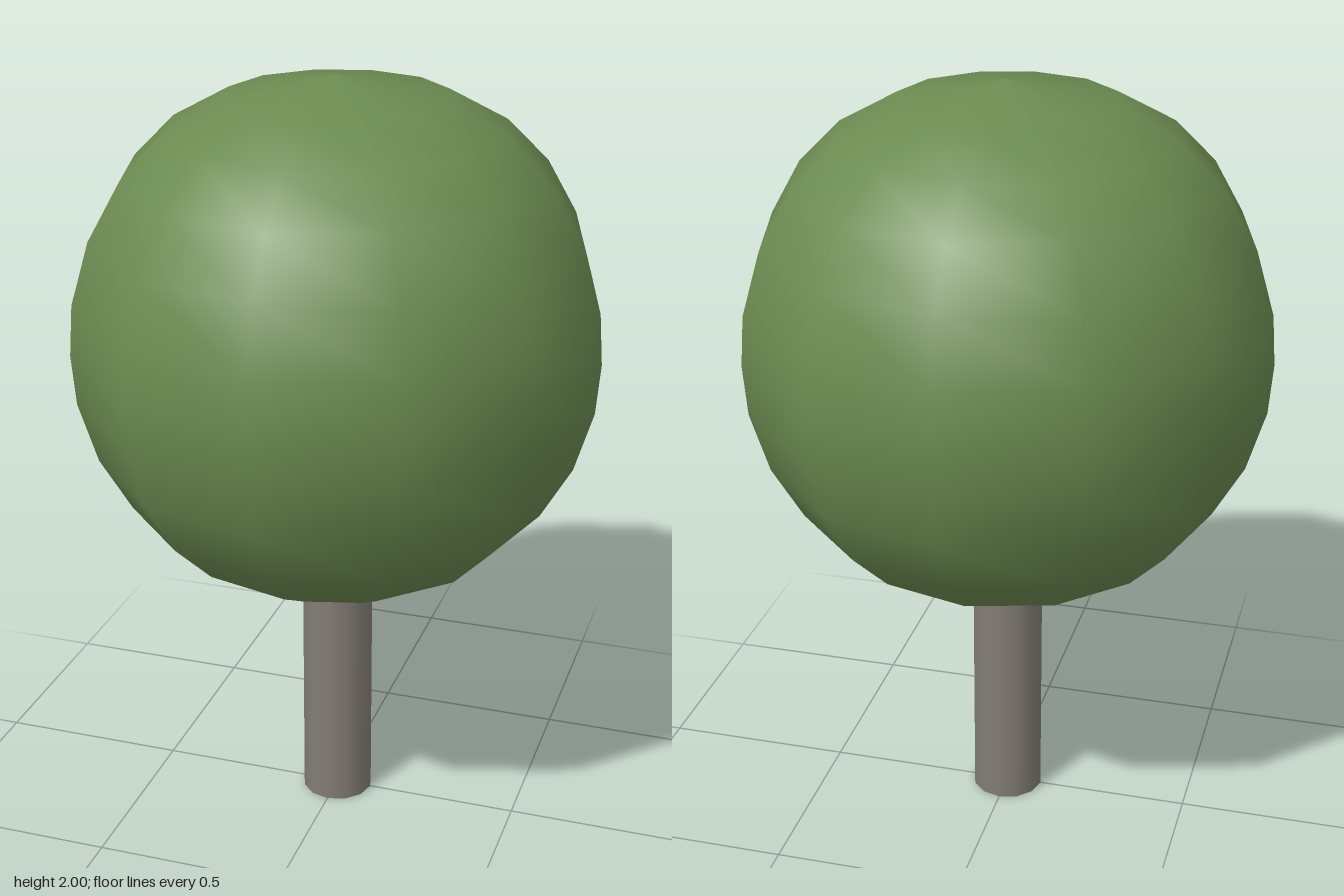
import * as THREE from 'three';

const SIDES = 12;

function addPart(group, name, geometry, color) {
  const mesh = new THREE.Mesh(geometry, new THREE.MeshStandardMaterial({ color }));
  mesh.name = name;
  group.add(mesh);
  return mesh;
}

export function createModel() {
  const group = new THREE.Group();
  group.name = 'tree';

  // Round crown: upper half of the profile as [radius, height above centre], mirrored below
  const upper = [[0.677, 0], [0.667, 0.13], [0.62, 0.288], [0.54, 0.428], [0.43, 0.538], [0.28, 0.62], [0, 0.67]];
  const lower = upper.slice(1).reverse().map(([r, y]) => [r, -y]);
  const profile = [...lower, ...upper].map(([r, y]) => new THREE.Vector2(r, y));
  const crown = addPart(group, 'crown', new THREE.LatheGeometry(profile, SIDES), 0x6b8a50);
  crown.position.y = 1.33;

  // Straight trunk, its top tucked into the crown
  const height = 0.72;
  const trunk = addPart(group, 'trunk', new THREE.CylinderGeometry(0.095, 0.095, height, SIDES), 0x827c74);
  trunk.position.y = height / 2;

  return group;
}
